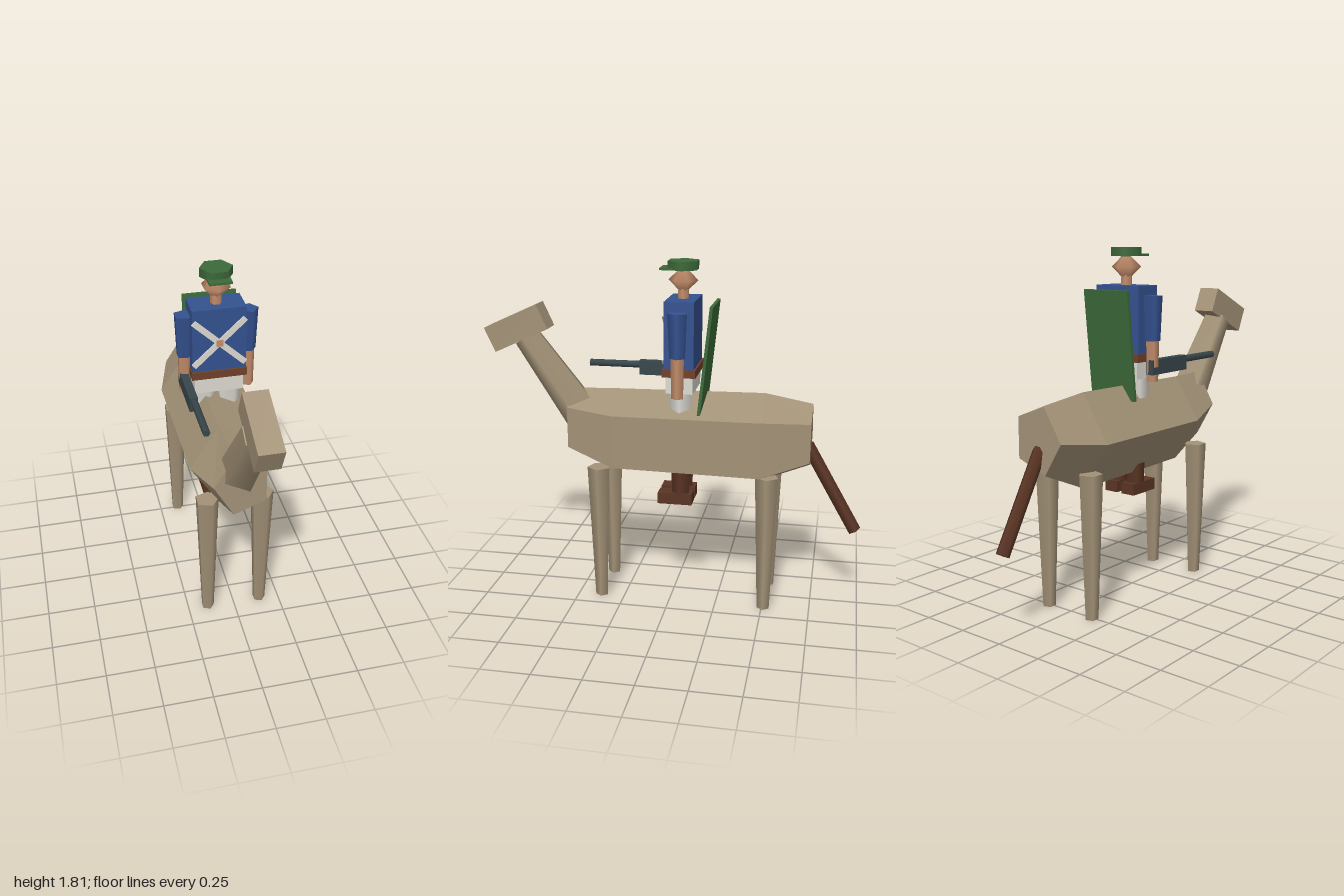
import * as THREE from 'three';

const paint = (name, color) => {
  const m = new THREE.MeshStandardMaterial({ color });
  m.name = name;
  return m;
};

export function createModel() {
  const hide = paint('tan hide', 0xa39277);
  const blue = paint('blue cloth', 0x345290);
  const skin = paint('skin', 0xc48e6b);
  const white = paint('off white cloth', 0xdcdad2);
  const green = paint('green', 0x3c6a3a);
  const brown = paint('dark brown', 0x5a3423);
  const leather = paint('belt leather', 0x70412a);
  const steel = paint('gun steel', 0x38464b);

  const model = new THREE.Group();
  const animal = new THREE.Group();
  animal.name = 'mount';
  const rider = new THREE.Group();
  rider.name = 'rider';
  model.add(animal, rider);

  const add = (parent, name, geo, mat, x = 0, y = 0, z = 0) => {
    const mesh = new THREE.Mesh(geo, mat);
    mesh.name = name;
    mesh.position.set(x, y, z);
    parent.add(mesh);
    return mesh;
  };
  const box = (parent, name, mat, size, pos) =>
    add(parent, name, new THREE.BoxGeometry(...size), mat, ...pos);
  // tapered prism from point a to point b; spin turns its first corner from +z
  const limb = (parent, name, mat, a, b, ra, rb, { sides = 5, spin = Math.PI / 2, wide = 1 } = {}) => {
    const p = new THREE.Vector3(...a), q = new THREE.Vector3(...b);
    const dir = q.clone().sub(p);
    const geo = new THREE.CylinderGeometry(rb, ra, dir.length(), sides).rotateY(spin).scale(wide, 1, 1);
    const mesh = add(parent, name, geo, mat);
    mesh.quaternion.setFromUnitVectors(new THREE.Vector3(0, 1, 0), dir.normalize());
    mesh.position.copy(p).lerp(q, 0.5);
    return mesh;
  };

  // Body: five-sided barrel shaped by four stations [z, centre y, half width, half height]
  const stations = [
    [-0.72, 0.921, 0.15, 0.174],
    [-0.47, 0.886, 0.222, 0.252],
    [0.30, 0.886, 0.213, 0.24],
    [0.55, 0.937, 0.145, 0.185],
  ];
  const barrel = new THREE.CylinderGeometry(1, 1, 1, 5, 3)
    .rotateY(-Math.PI / 2).rotateX(Math.PI / 2).toNonIndexed();
  const pos = barrel.attributes.position;
  for (let i = 0; i < pos.count; i++) {
    const [z, cy, rx, ry] = stations[Math.round((pos.getZ(i) + 0.5) * 3)];
    pos.setXYZ(i, pos.getX(i) * rx, cy + pos.getY(i) * ry, z);
  }
  barrel.computeVertexNormals();
  add(animal, 'body', barrel, hide);

  // Neck, head, tail and legs
  limb(animal, 'neck', hide, [0, 0.876, 0.417], [0, 1.396, 0.788], 0.11, 0.074, { wide: 1.1 });
  box(animal, 'head', hide, [0.12, 0.139, 0.318], [0, 1.443, 0.832]).rotation.x = 0.428;
  limb(animal, 'tail', brown, [0, 0.88, -0.70], [0, 0.42, -0.964], 0.035, 0.035, { spin: 0 });
  for (const s of [1, -1]) {
    limb(animal, 'frontLeg', hide, [s * 0.144, 0, 0.375], [s * 0.144, 0.74, 0.375], 0.034, 0.062);
    limb(animal, 'hindLeg', hide, [s * 0.144, 0, -0.508], [s * 0.144, 0.74, -0.508], 0.034, 0.062);
  }

  // Rider's trunk
  const rz = -0.047;
  box(rider, 'torso', blue, [0.274, 0.36, 0.153], [0, 1.44, rz]);
  box(rider, 'belt', leather, [0.284, 0.042, 0.172], [0, 1.259, rz]);
  box(rider, 'hips', white, [0.25, 0.09, 0.14], [0, 1.195, rz]);

  // Crossed chest straps with buckle
  for (const s of [1, -1]) {
    box(rider, 'strap', white, [0.03, 0.36, 0.009], [0, 1.437, 0.034 + s * 0.001]).rotation.z = s * 0.82;
  }
  box(rider, 'buckle', skin, [0.035, 0.035, 0.01], [0, 1.437, 0.037]);

  // Arms and legs
  for (const s of [1, -1]) {
    const ax = s * 0.165;
    limb(rider, 'sleeve', blue, [ax, 1.345, rz], [ax, 1.571, rz], 0.042, 0.052);
    limb(rider, 'forearm', skin, [ax, 1.138, rz], [ax, 1.35, rz], 0.032, 0.036);
    const lx = s * 0.065;
    limb(rider, 'thigh', white, [lx, 0.85, rz], [lx, 1.16, rz], 0.055, 0.064);
    limb(rider, 'boot', brown, [lx * 0.85, 0.57, rz], [lx * 0.85, 0.86, rz], 0.048, 0.054);
    box(rider, 'foot', brown, [0.08, 0.06, 0.182], [s * 0.056, 0.565, -0.019]);
  }

  // Neck, head and peaked cap
  limb(rider, 'riderNeck', skin, [0, 1.61, rz], [0, 1.67, rz], 0.03, 0.03, { sides: 6 });
  add(rider, 'riderHead', new THREE.SphereGeometry(0.076, 6, 2).rotateY(Math.PI / 2), skin, 0, 1.712, rz);
  limb(rider, 'cap', green, [0, 1.765, rz], [0, 1.81, rz], 0.084, 0.084, { sides: 6 });
  box(rider, 'capPeak', green, [0.115, 0.011, 0.08], [0, 1.77, 0.027]);

  // Tall board on the back
  box(rider, 'backBoard', green, [0.28, 0.56, 0.016], [0, 1.322, -0.18]).rotation.x = -0.108;

  // Gun held in the right hand
  box(rider, 'gunBody', steel, [0.042, 0.076, 0.295], [-0.171, 1.211, 0.072]);
  limb(rider, 'gunBarrel', steel, [-0.168, 1.226, 0.2], [-0.168, 1.226, 0.495], 0.019, 0.019, { sides: 6 });

  return model;
}
